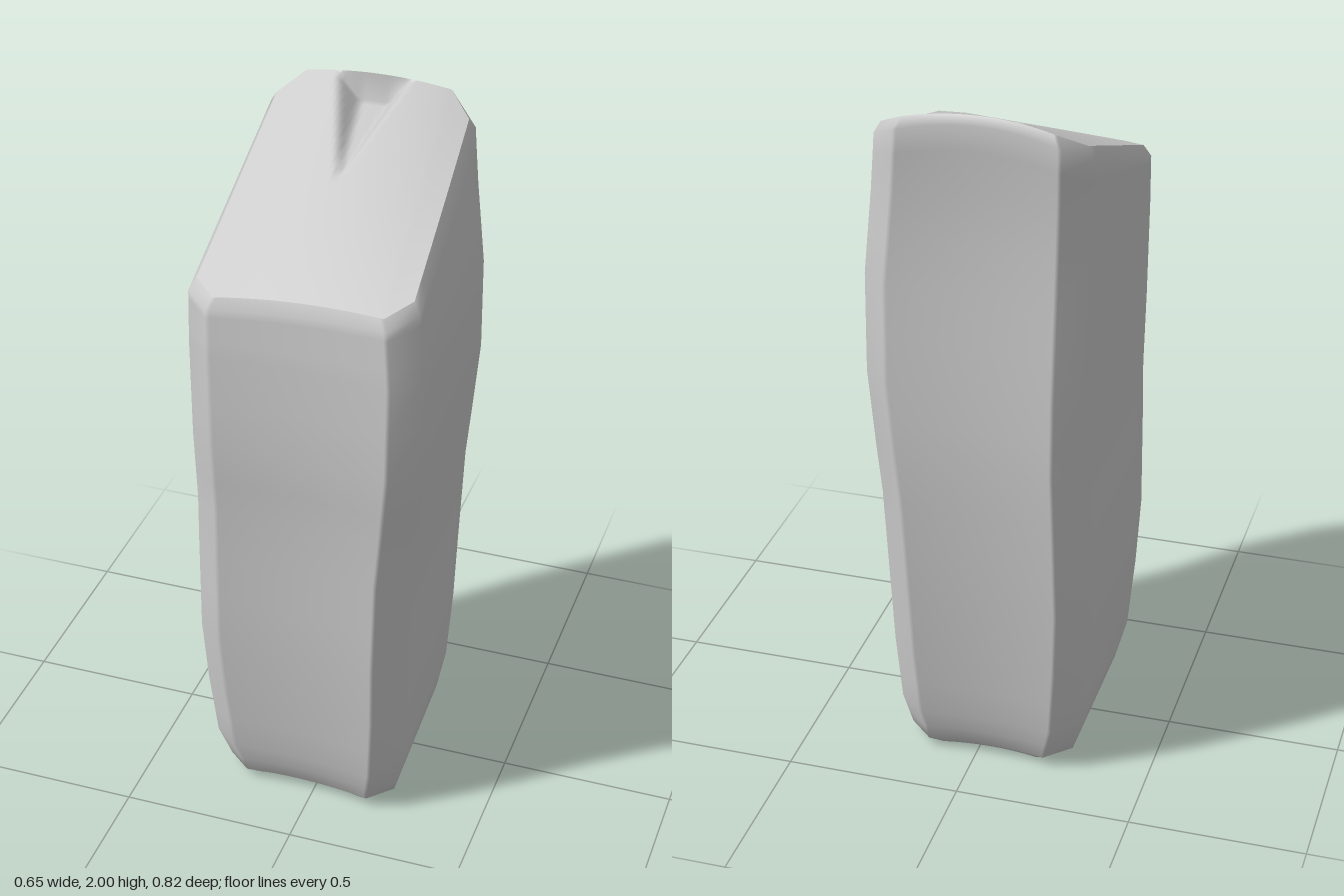
import * as THREE from 'three';

// Outline by height: y, right side, left side, front, back
const PROFILE = [
  [0, -0.24, 0.205, 0.28, -0.28],
  [0.03, -0.272, 0.24, 0.315, -0.315],
  [0.14, -0.3, 0.26, 0.347, -0.347],
  [0.35, -0.316, 0.272, 0.367, -0.37],
  [0.55, -0.325, 0.277, 0.382, -0.388],
  [0.85, -0.32, 0.288, 0.39, -0.405],
  [1.0, -0.316, 0.302, 0.395, -0.41],
  [1.22, -0.317, 0.323, 0.41, -0.407],
  [1.5, -0.321, 0.325, 0.403, -0.395],
  [1.65, -0.323, 0.312, 0.39, -0.39],
  [1.75, -0.325, 0.302, 0.38, -0.39],
  [2.0, -0.33, 0.28, 0.37, -0.405],
];
const EDGE = 40, SIDE = 8, ROWS = 40, CHAMFER = 0.068;
const { lerp, clamp } = THREE.MathUtils;

function outline(y) {
  let i = 0;
  while (i < PROFILE.length - 2 && y > PROFILE[i + 1][0]) i++;
  const a = PROFILE[i], b = PROFILE[i + 1];
  const t = clamp((y - a[0]) / (b[0] - a[0]), 0, 1);
  return a.map((v, k) => lerp(v, b[k], t));
}

// Slanted top, arched along the back edge
function topHeight(x, z) {
  const t = clamp((0.38 - z) / 0.765, 0, 1);
  return lerp(1.675 + 0.07 * x, 2 - 0.65 * (x + 0.03) ** 2, t);
}

// Wedge-shaped groove running from the middle to the back rim
function grooveDepth(x, z) {
  const t = clamp((-0.02 - z) / 0.36, 0, 1);
  if (t === 0) return 0;
  const off = Math.abs(x - lerp(-0.03, -0.043, t));
  return 0.08 * t * clamp((0.107 * t - off) / (0.065 * t), 0, 1);
}

// x, z of one point of the chamfered outline at height y
function outlinePoint(k, y) {
  const [, xl, xr, zf, zb] = outline(y);
  const right = (z) => xr - 0.035 * clamp((0.38 - z) / 0.76, 0, 1);
  const n = EDGE + 1, m = SIDE + 1;
  const hollow = (u) => 0.014 * (1 - (2 * u - 1) ** 2);
  if (k < n) {
    const u = k / EDGE;
    return [lerp(xl + CHAMFER, right(zf) - CHAMFER, u), zf - hollow(u) - 0.012 * (1 - u)];
  }
  k -= n;
  if (k < m) {
    const z = lerp(zf - CHAMFER, zb + CHAMFER, k / SIDE);
    return [right(z), z];
  }
  k -= m;
  if (k < n) {
    const u = 1 - k / EDGE;
    return [lerp(xl + CHAMFER, right(zb) - CHAMFER, u), zb + hollow(u)];
  }
  k -= n;
  return [xl, lerp(zb + CHAMFER, zf - CHAMFER, k / SIDE)];
}

const COUNT = 2 * (EDGE + SIDE + 2);

// A ring at a fixed height, or (fraction set) between y and the slanted rim
function ring(y, fraction = 0, drop = 0.028) {
  return Array.from({ length: COUNT }, (_, k) => {
    let h = y, p = outlinePoint(k, h);
    for (let i = 0; fraction && i < 3; i++) {
      h = lerp(y, topHeight(p[0], p[1]) - drop, fraction);
      p = outlinePoint(k, h);
    }
    return [p[0], h, p[1]];
  });
}

// Surface through rows of points; each row runs counterclockwise
function loft(rows, closed) {
  const n = rows[0].length, index = [];
  for (let r = 0; r < rows.length - 1; r++) {
    for (let i = 0; i < (closed ? n : n - 1); i++) {
      const a = r * n + i, b = r * n + (i + 1) % n;
      index.push(a, b, b + n, a, b + n, a + n);
    }
  }
  const geometry = new THREE.BufferGeometry();
  geometry.setAttribute('position', new THREE.Float32BufferAttribute(rows.flat(2), 3));
  geometry.setIndex(index);
  geometry.computeVertexNormals();
  return geometry;
}

export function createModel() {
  const group = new THREE.Group();
  const material = new THREE.MeshStandardMaterial({ color: 0xcccccc });
  const add = (name, geometry) => {
    const mesh = new THREE.Mesh(geometry, material);
    mesh.name = name;
    group.add(mesh);
  };

  // Body walls, closed by a narrow bevel around the rim
  const rings = [0, 0.012, 0.03, 0.08, 0.14, 0.24, 0.35, 0.55, 0.7, 0.85, 1, 1.1, 1.22, 1.36, 1.5].map((y) => ring(y));
  for (const f of [0.3, 0.6, 0.85, 1]) rings.push(ring(1.5, f));
  const rim = rings[rings.length - 1].map(([x, , z]) => {
    const p = [x * 0.94, z * 0.96];
    return [p[0], topHeight(...p), p[1]];
  });
  rings.push(rim);
  add('body', loft(rings, true));

  // Slanted top with the groove; columns join the front rim to the back rim
  const n = EDGE + 1, m = SIDE + 1;
  const columns = [[rim[COUNT - 1], rim[COUNT - m]]];
  for (let i = 0; i < n; i++) columns.push([rim[i], rim[2 * n + m - 1 - i]]);
  columns.push([rim[n], rim[n + m - 1]]);
  const rows = [];
  for (let r = 0; r <= ROWS; r++) {
    const v = r === ROWS ? 1 : (r / (ROWS - 1)) * 0.992;
    rows.push(columns.map(([front, back]) => {
      const x = lerp(front[0], back[0], v), z = lerp(front[2], back[2], v);
      const dip = r === ROWS ? 0 : grooveDepth(x, z);
      return [x, topHeight(x, z) - dip, z];
    }));
  }
  add('slantedTop', loft(rows, false));

  // Flat underside
  const base = new THREE.Shape(rings[0].map(([x, , z]) => new THREE.Vector2(x, z)));
  add('underside', new THREE.ShapeGeometry(base).rotateX(Math.PI / 2));

  return group;
}
